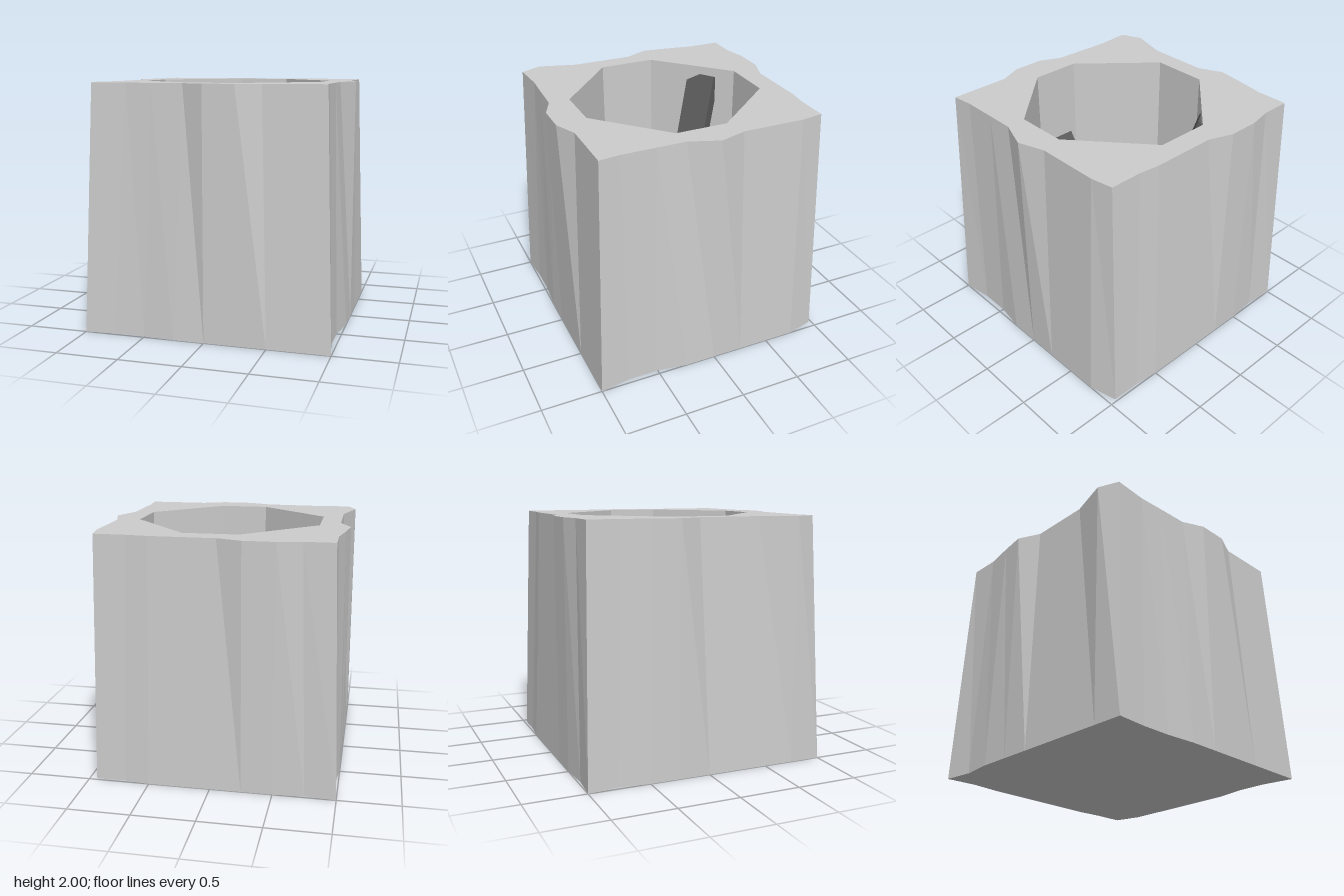
import * as THREE from 'three';

// Outlines as [x, z], matching point by point, clockwise seen from above
const base = [
  [-1, -1], [-.75, -.98], [-.5, -1], [-.25, -1], [0, -1], [.25, -1], [.5, -1], [.7, -.98], [.94, -.98],
  [1, -.75], [1, -.5], [1, -.25], [1, 0], [1, .25], [.96, .5], [.96, .75], [1, 1],
  [.75, 1], [.5, 1], [.25, 1], [0, 1], [-.25, 1], [-.5, .98], [-.75, .98], [-1, 1],
  [-1, .75], [-1, .5], [-1, .25], [-1, 0], [-1, -.25], [-1, -.5], [-.97, -.75],
];
const rim = [
  [-.93, -.96], [-.69, -.96], [-.5, -1], [-.25, -1], [-.05, -.93], [.23, -.93], [.47, -.93], [.64, -.91], [.9, -.91],
  [.93, -.73], [.93, -.46], [.93, -.22], [1, 0], [.91, .24], [.91, .47], [.91, .75], [.93, .92],
  [.7, .92], [.44, .92], [.25, 1], [0, 1], [-.18, .92], [-.44, .91], [-.65, .9], [-.93, .92],
  [-1, .75], [-.91, .44], [-.91, .2], [-.91, -.06], [-1, -.25], [-.97, -.46], [-.93, -.7],
];
const well = [[-.19, -.75], [.25, -.75], [.75, -.17], [.75, .25], [.22, .75], [-.18, .75], [-.75, .25], [-.75, -.21]];
const TOP = 2, FLOOR = .25;

const at = ([x, z], y) => new THREE.Vector3(x, y, z);

function facetGeometry(triangles) {
  return new THREE.BufferGeometry().setFromPoints(triangles.flat());
}

// Wall between two matching outlines, facing outward or inward
function wall(lower, y0, upper, y1, inward) {
  const tris = [];
  lower.forEach((p, i) => {
    const j = (i + 1) % lower.length;
    const a = at(p, y0), b = at(lower[j], y0), c = at(upper[j], y1), d = at(upper[i], y1);
    tris.push(...(inward ? [[a, b, c], [a, c, d]] : [[a, c, b], [a, d, c]]));
  });
  return tris;
}

// Flat cap, optionally with a hole, facing up or down
function cap(outline, y, up, hole = []) {
  const v2 = (list) => list.map(([x, z]) => new THREE.Vector2(x, z));
  const points = [...outline, ...hole];
  const faces = THREE.ShapeUtils.triangulateShape(v2(outline), hole.length ? [v2(hole)] : []);
  return faces.map((f) => {
    const t = f.map((i) => at(points[i], y));
    const n = t[1].clone().sub(t[0]).cross(t[2].clone().sub(t[0]));
    return (n.y > 0) === up ? t : t.reverse();
  });
}

// Slanted bar whose upper face runs from one point down to another
function bar(name, from, to, width, material) {
  const p0 = new THREE.Vector3(...from), p1 = new THREE.Vector3(...to);
  const along = p1.clone().sub(p0);
  const length = along.length();
  along.normalize();
  const side = new THREE.Vector3(0, 1, 0).cross(along).normalize();
  const normal = along.clone().cross(side);
  const thick = .1;
  const mesh = new THREE.Mesh(new THREE.BoxGeometry(width, thick, length), material);
  mesh.name = name;
  mesh.quaternion.setFromRotationMatrix(new THREE.Matrix4().makeBasis(side, normal, along));
  mesh.position.copy(p0).add(p1).multiplyScalar(.5).addScaledVector(normal, -thick / 2);
  return mesh;
}

export function createModel() {
  const group = new THREE.Group();
  const stone = new THREE.MeshStandardMaterial({ color: 0xcccccc, flatShading: true });
  const dark = new THREE.MeshStandardMaterial({ color: 0x5c5c5c, flatShading: true });

  // Rough stone block with an eight-sided well
  const blockGeometry = facetGeometry([
    ...wall(base, 0, rim, TOP, false),
    ...cap(rim, TOP, true, well),
    ...cap(base, 0, false),
    ...wall(well, FLOOR, well, TOP, true),
    ...cap(well, FLOOR, true),
  ]);
  blockGeometry.computeVertexNormals();
  const block = new THREE.Mesh(blockGeometry, stone);
  block.name = 'stoneBlock';
  group.add(block);

  // Faceted ball at the bottom of the well, one vertex nearly upright
  const ballGeometry = new THREE.IcosahedronGeometry(.47, 1);
  ballGeometry.rotateX(-1.017 + .1);
  const ball = new THREE.Mesh(ballGeometry, dark);
  ball.name = 'ball';
  ball.position.y = .72;
  group.add(ball);

  // Bars bracing the ball against the well walls
  group.add(
    bar('backBar', [-.405, 1.93, -.54], [-.235, 1, -.28], .26, dark),
    bar('rightBar', [.75, 1.35, -.01], [.43, .8, 0], .29, dark),
    bar('frontBar', [0, 1.35, .75], [0, .86, .41], .25, dark),
  );
  return group;
}
